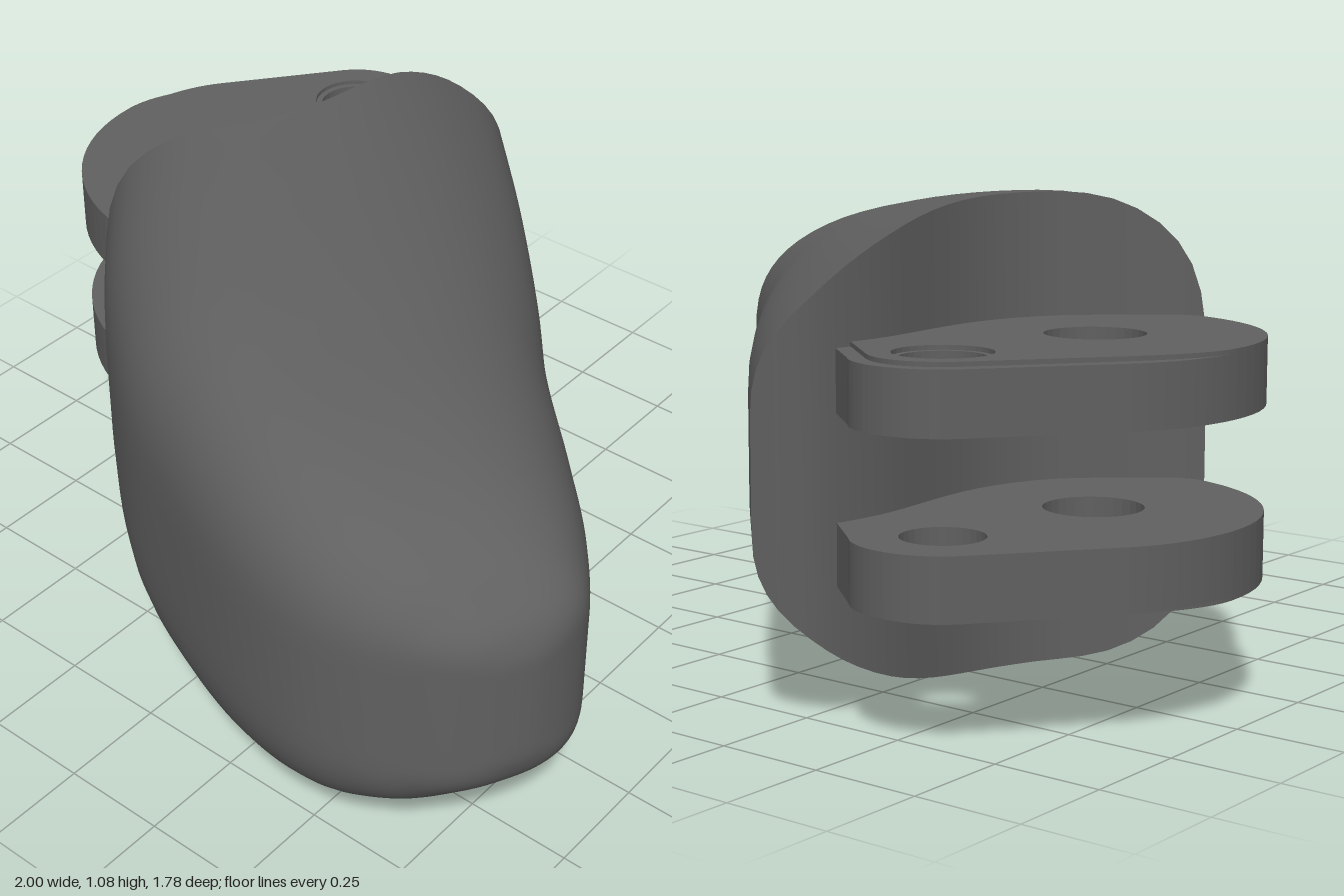
import * as THREE from 'three';

const MID_Y = 0.54;
const N = 30; // points across the body
const M = 60; // sections along the body

// Stations along the body: right edge x,z - left edge x,z - half height
const STATIONS = [
  [-0.23, -0.89, -0.64, 0.18, 0.54],
  [0.05, -0.60, -0.42, 0.41, 0.525],
  [0.30, -0.32, -0.15, 0.63, 0.505],
  [0.50, -0.08, 0.10, 0.76, 0.48],
  [0.70, 0.12, 0.35, 0.855, 0.44],
  [0.85, 0.275, 0.55, 0.89, 0.385],
  [0.95, 0.40, 0.70, 0.87, 0.315],
  [0.99, 0.47, 0.81, 0.82, 0.255],
  [1.00, 0.54, 0.89, 0.765, 0.205],
  [0.99, 0.61, 0.94, 0.71, 0.15],
  [0.97, 0.66, 0.97, 0.66, 0.10],
];
// Sideways bow of the knuckle face, at even steps from left to right edge
const BOW = [0, 0.09, 0.165, 0.178, 0.16, 0.12, 0.07, 0.02, -0.015, -0.03, 0];

const spline = (pts) => new THREE.SplineCurve(pts.map(([x, y]) => new THREE.Vector2(x, y)));
const rightEdge = spline(STATIONS.map((s) => [s[0], s[1]]));
const leftEdge = spline(STATIONS.map((s) => [s[2], s[3]]));
const heights = spline(STATIONS.map((s, i) => [i, s[4]]));
const bow = spline(BOW.map((b, i) => [i, b]));

// Rounded cross-section height; towards the tip the crest moves to the middle
// and the upright rim takes a larger share
function profile(v, t) {
  const shift = Math.min(1, t / 0.7);
  const peak = 0.23 + 0.27 * shift;
  const left = v < peak;
  const u = Math.min(1, left ? (peak - v) / peak : (v - peak) / (1 - peak));
  const n = left ? 2.7 : 2.3 + 0.3 * shift;
  const rim = 0.22 + 0.5 * THREE.MathUtils.smoothstep(t, 0.4, 1);
  return rim + (1 - rim) * Math.pow(1 - Math.pow(u, n), 1 / n);
}

// One closed ring: over the top from left to right, back underneath
function section(t) {
  const R = rightEdge.getPoint(t), L = leftEdge.getPoint(t);
  const h = heights.getPoint(t).y;
  const fade = Math.max(0, 1 - (t * 10) / 3);
  const top = [];
  for (let j = 0; j <= N; j++) {
    const v = (1 - Math.cos((Math.PI * j) / N)) / 2;
    const x = L.x + (R.x - L.x) * v + bow.getPoint(v).y * fade;
    const z = L.y + (R.y - L.y) * v;
    top.push([x, h * profile(v, t), z]);
  }
  const bottom = top.slice().reverse().map(([x, y, z]) => [x, -y, z]);
  return [...top, ...bottom].map(([x, y, z]) => [x, y + MID_Y, z]);
}

function geometryFrom(points, index) {
  const g = new THREE.BufferGeometry();
  g.setAttribute('position', new THREE.Float32BufferAttribute(points.flat(), 3));
  g.setIndex(index);
  g.computeVertexNormals();
  return g;
}

function bodyGeometry() {
  const points = [], index = [], ring = 2 * N + 2;
  for (let i = 0; i <= M; i++) points.push(...section(i / M));
  for (let i = 0; i < M; i++) {
    for (let j = 0; j < ring; j++) {
      const k = (j + 1) % ring;
      const a = i * ring + j, b = i * ring + k;
      index.push(a, a + ring, b, b, a + ring, b + ring);
    }
  }
  return geometryFrom(points, index);
}

// Upright curved wall closing the knuckle end
function faceGeometry() {
  const points = section(0), index = [], last = 2 * N + 1;
  for (let j = 0; j < N; j++) {
    index.push(j, j + 1, last - j, j + 1, last - j - 1, last - j);
  }
  return geometryFrom(points, index);
}

// Plan of a hinge lug; inset draws in the edge around the small hole
function lugGeometry(inset, smallHole, depth) {
  const s = new THREE.Shape();
  const c = inset * 0.7;
  s.moveTo(-0.42, -0.10);
  s.lineTo(-0.55, -0.13);
  s.lineTo(-0.64, -0.15);
  s.bezierCurveTo(-0.84, -0.11, -1.0, 0.06, -1.0, 0.28);
  s.bezierCurveTo(-1.0, 0.36, -0.98 + c, 0.46 - c, -0.92 + c, 0.54 - c);
  s.lineTo(-0.71 + c, 0.81 - c);
  s.bezierCurveTo(-0.64 + c, 0.897 - inset, -0.50 - c, 0.897 - inset, -0.43 - c, 0.82 - c);
  s.lineTo(-0.31 - c, 0.72 - c);
  s.lineTo(-0.20, 0.60);
  s.lineTo(-0.22, 0.15);
  s.closePath();
  // The outline runs clockwise, so the holes run the other way
  for (const [x, y, r] of [[-0.57, 0.69, smallHole], [-0.635, 0.255, 0.11]]) {
    s.holes.push(new THREE.Path().absarc(x, y, r, 0, Math.PI * 2, false));
  }
  const g = new THREE.ExtrudeGeometry(s, { depth, bevelEnabled: false, curveSegments: 16 });
  return g.rotateX(-Math.PI / 2);
}

export function createModel() {
  const model = new THREE.Group();
  const material = new THREE.MeshStandardMaterial({ color: 0x606060 });
  const add = (name, geometry, y = 0, parent = model) => {
    const mesh = new THREE.Mesh(geometry, material);
    mesh.name = name;
    mesh.position.y = y;
    parent.add(mesh);
  };

  add('fingertipBody', bodyGeometry());
  add('knuckleFace', faceGeometry());

  // Two hinge lugs, each with a shallow raised face on its outer side
  const plate = lugGeometry(0, 0.09, 0.135);
  const raised = lugGeometry(0.035, 0.105, 0.01);
  for (const [name, plateY, raisedY] of [['upperLug', 0.655, 0.79], ['lowerLug', 0.29, 0.28]]) {
    const lug = new THREE.Group();
    lug.name = name;
    add('lugPlate', plate, plateY, lug);
    add('lugRaisedFace', raised, raisedY, lug);
    model.add(lug);
  }
  return model;
}
